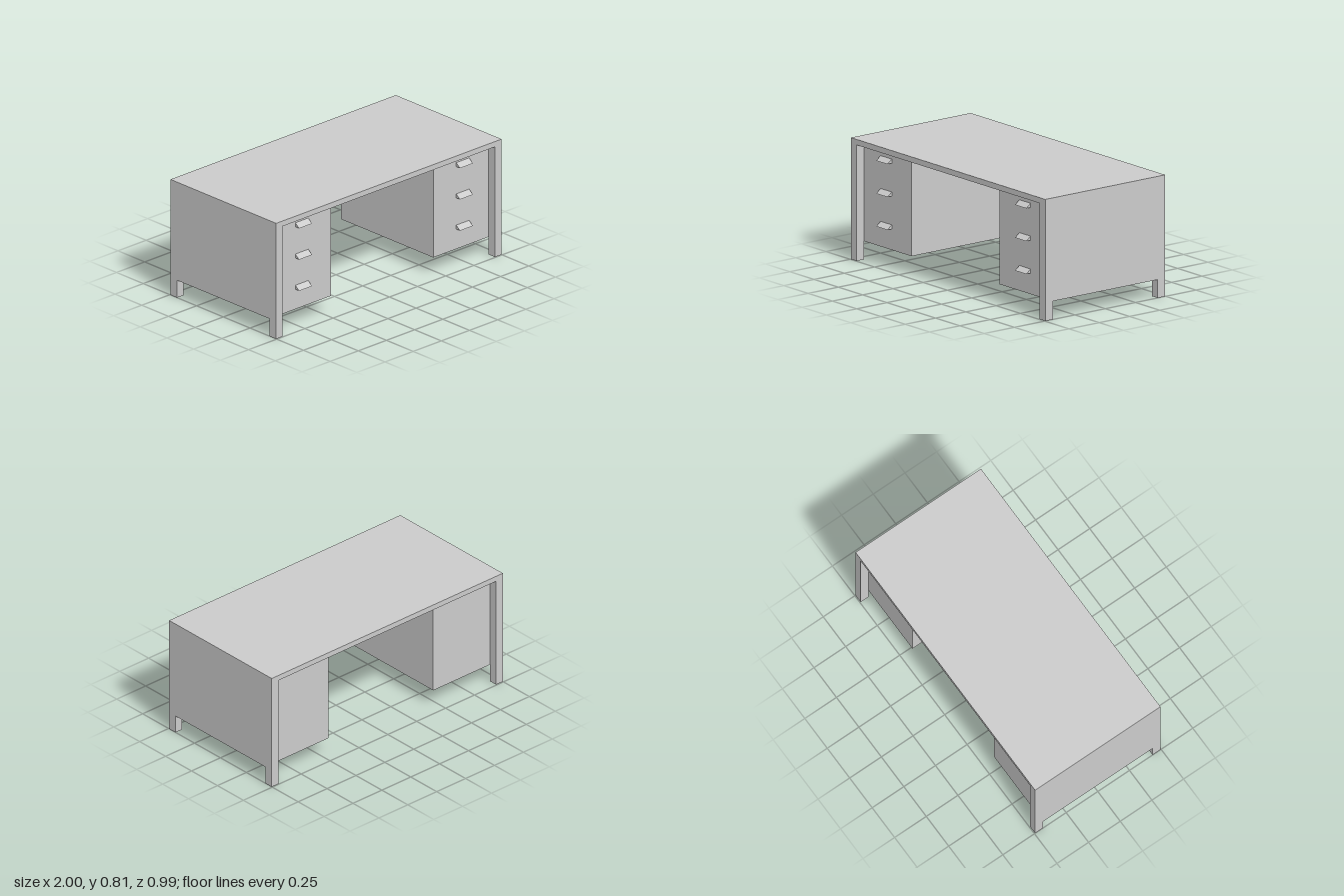
import * as THREE from 'three';

const material = new THREE.MeshStandardMaterial({ color: 0xcccccc, flatShading: true });

// Box given by its lower and upper corners
function box(name, [x0, y0, z0], [x1, y1, z1]) {
  const mesh = new THREE.Mesh(new THREE.BoxGeometry(x1 - x0, y1 - y0, z1 - z0), material);
  mesh.position.set((x0 + x1) / 2, (y0 + y1) / 2, (z0 + z1) / 2);
  mesh.name = name;
  return mesh;
}

// Wedge-shaped drawer pull: sloping face running from its top back edge to its bottom front edge
function handleGeometry(width, height, depth) {
  const profile = new THREE.Shape([
    new THREE.Vector2(0, -height / 2),
    new THREE.Vector2(depth, -height / 2),
    new THREE.Vector2(0, height / 2),
  ]);
  const geometry = new THREE.ExtrudeGeometry(profile, { depth: width, bevelEnabled: false });
  return geometry.translate(0, 0, -width / 2).rotateY(-Math.PI / 2);
}

export function createModel() {
  const desk = new THREE.Group();
  desk.name = 'desk';

  const halfDepth = 0.495, top = 0.81, under = 0.773;
  const legX = 0.942, innerX = 0.453, cabinetZ = 0.433, cabinetY = 0.122;

  desk.add(box('desktop', [-1, under, -halfDepth], [1, top, halfDepth]));

  const pull = handleGeometry(0.115, 0.028, 0.036);

  for (const side of [-1, 1]) {
    const name = side > 0 ? 'left' : 'right';
    const span = (a, b) => (side > 0 ? [a, b] : [-b, -a]);

    // Legs at the front and back corners
    const [l0, l1] = span(legX, 1);
    desk.add(box(name + 'FrontLeg', [l0, 0, cabinetZ], [l1, under, halfDepth]));
    desk.add(box(name + 'BackLeg', [l0, 0, -halfDepth], [l1, under, -cabinetZ]));

    // Drawer cabinet, flush with the legs on the outside
    const [c0, c1] = span(innerX, 1);
    desk.add(box(name + 'Cabinet', [c0, cabinetY, -cabinetZ], [c1, under, cabinetZ]));

    // Three drawer pulls
    for (const y of [0.275, 0.494, 0.713]) {
      const handle = new THREE.Mesh(pull, material);
      handle.name = name + 'DrawerHandle';
      handle.position.set(side * 0.714, y, cabinetZ);
      desk.add(handle);
    }
  }
  return desk;
}
